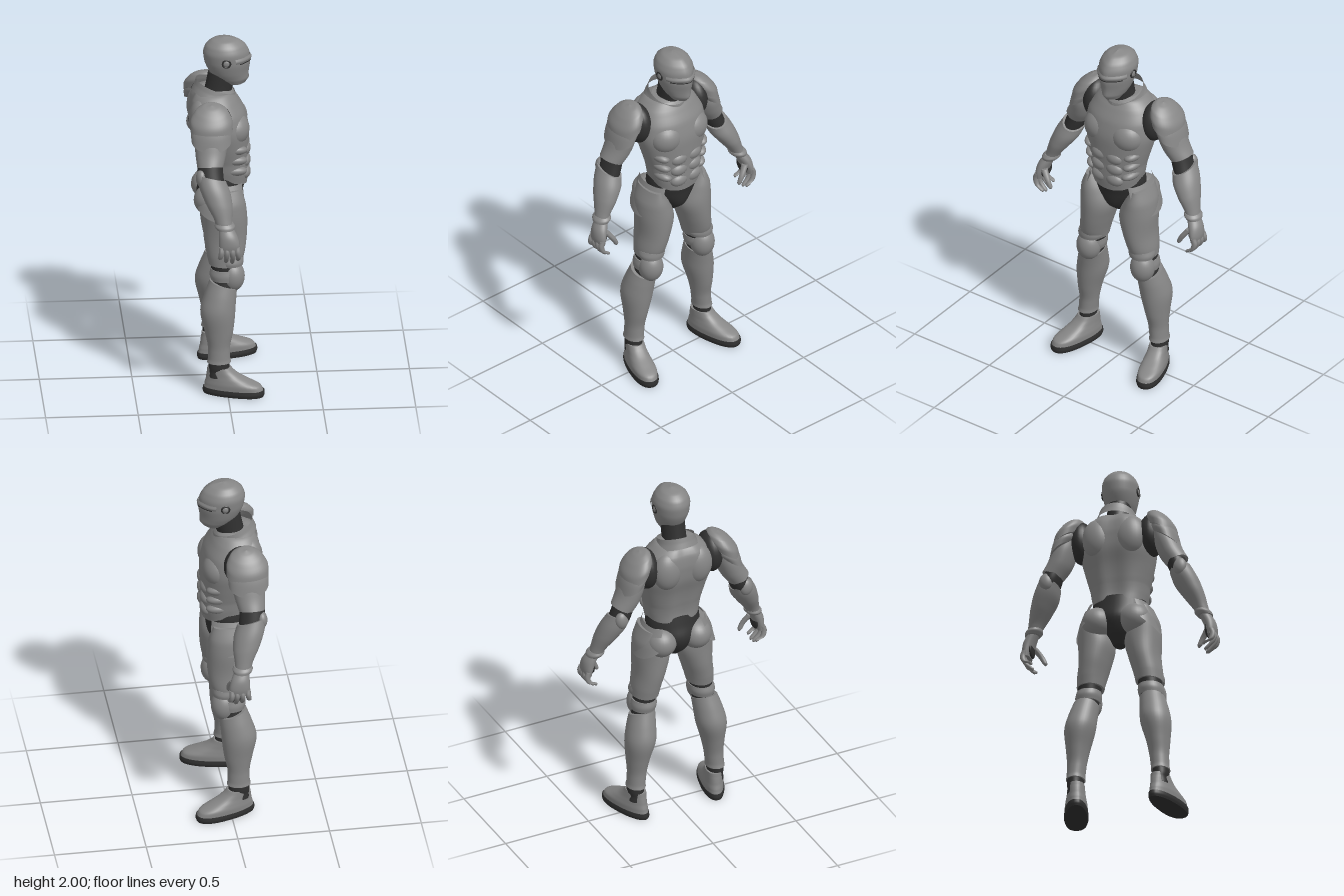
import * as THREE from 'three';

const armour = new THREE.MeshStandardMaterial({ color: 0x868686, side: THREE.DoubleSide });
armour.name = 'armourGrey';
const under = new THREE.MeshStandardMaterial({ color: 0x303030 });
under.name = 'underlayerDark';

// Smooth surface through horizontal oval rings [x, y, z, rx, rz], listed bottom to top
function loft(parent, name, mat, rings, { from = 0, to = Math.PI * 2, power = 2, warp, seg = 36 } = {}) {
  const centres = new THREE.CatmullRomCurve3(rings.map(r => new THREE.Vector3(r[0], r[1], r[2])));
  const radii = new THREE.CatmullRomCurve3(rings.map(r => new THREE.Vector3(r[3], r[4], 0)));
  const closed = to - from > 6.28, cols = closed ? seg : seg + 1;
  const rows = (rings.length - 1) * 5, pos = [], idx = [];
  const addRing = t => {
    const c = centres.getPoint(t), r = radii.getPoint(t);
    for (let j = 0; j < cols; j++) {
      const a = from + (to - from) * j / seg, ca = Math.cos(a), sa = Math.sin(a);
      const p = new THREE.Vector3(
        c.x + r.x * Math.sign(ca) * Math.abs(ca) ** (2 / power), c.y,
        c.z + r.y * Math.sign(sa) * Math.abs(sa) ** (2 / power));
      if (warp) warp(p, ca, sa, t, c);
      pos.push(p.x, p.y, p.z);
    }
  };
  for (let i = 0; i <= rows; i++) addRing(i / rows);
  for (let i = 0; i < rows; i++) for (let j = 0; j < seg; j++) {
    const a = i * cols + j, b = i * cols + (j + 1) % cols;
    idx.push(a, a + cols, b, b, a + cols, b + cols);
  }
  // Flat end caps with their own vertices
  if (closed) for (const t of [0, 1]) {
    const s = pos.length / 3, mid = new THREE.Vector3();
    addRing(t);
    for (let j = 0; j < cols; j++) mid.add(new THREE.Vector3().fromArray(pos, (s + j) * 3));
    pos.push(...mid.divideScalar(cols).toArray());
    for (let j = 0; j < seg; j++) {
      const a = s + j, b = s + (j + 1) % seg;
      idx.push(s + cols, t ? b : a, t ? a : b);
    }
  }
  const g = new THREE.BufferGeometry();
  g.setAttribute('position', new THREE.Float32BufferAttribute(pos, 3));
  g.setIndex(idx);
  g.computeVertexNormals();
  const m = new THREE.Mesh(g, mat);
  m.name = name;
  parent.add(m);
  return m;
}

function ball(parent, name, mat, p, r) {
  const m = new THREE.Mesh(new THREE.SphereGeometry(1, 28, 18).scale(...r), mat);
  m.name = name;
  m.position.set(...p);
  parent.add(m);
  return m;
}

function part(parent, name) {
  const g = new THREE.Group();
  g.name = name;
  parent.add(g);
  return g;
}

function buildHead(root) {
  const head = part(root, 'head');
  // A slight ridge runs down the centre of the face
  const ridge = (p, ca) => { if (ca > 0) p.x += 0.012 * ca ** 12; };
  loft(head, 'helmet', armour, [
    [0.055, 1.73, 0, 0.045, 0.045], [0.035, 1.76, 0, 0.085, 0.065], [0.02, 1.8, 0, 0.1, 0.082],
    [0.01, 1.86, 0, 0.118, 0.097], [0.004, 1.91, 0, 0.119, 0.1], [0, 1.955, 0, 0.102, 0.086],
    [-0.002, 1.985, 0, 0.065, 0.056], [-0.002, 2, 0, 0.006, 0.006]], { warp: ridge });
  loft(head, 'browLip', armour, [[0.014, 1.872, 0, 0.117, 0.1], [0.014, 1.885, 0, 0.121, 0.104],
    [0.01, 1.9, 0, 0.117, 0.1]], { from: -1.2, to: 1.2, warp: ridge });
  loft(head, 'visorSlit', under, [[0.014, 1.866, 0, 0.119, 0.1], [0.014, 1.872, 0, 0.119, 0.1]],
    { from: -1, to: 1, warp: ridge });
  for (const s of [1, -1]) {
    const ear = new THREE.Mesh(new THREE.TorusGeometry(0.021, 0.005, 8, 24), under);
    ear.name = 'earRing';
    ear.position.set(0.005, 1.88, s * 0.098);
    head.add(ear);
    ball(head, 'earDisc', armour, [0.005, 1.88, s * 0.096], [0.018, 0.018, 0.008]);
  }
  loft(root, 'neck', under, [[-0.05, 1.64, 0, 0.08, 0.075], [-0.03, 1.71, 0, 0.075, 0.065], [-0.01, 1.8, 0, 0.078, 0.065]]);
}

function buildTorso(root) {
  const torso = part(root, 'torso');
  // The lower edge rises at the flanks, and a shallow groove runs down the spine
  loft(torso, 'breastplate', armour, [
    [0, 1.155, 0, 0.122, 0.145], [0.003, 1.22, 0, 0.126, 0.155], [-0.002, 1.3, 0, 0.13, 0.163],
    [-0.012, 1.4, 0, 0.143, 0.188], [-0.03, 1.5, 0, 0.158, 0.207], [-0.045, 1.58, 0, 0.152, 0.2],
    [-0.06, 1.65, 0, 0.128, 0.165], [-0.06, 1.69, 0, 0.1, 0.12], [-0.055, 1.705, 0, 0.07, 0.08]],
  { power: 2.2, seg: 56, warp: (p, ca) => {
    p.y += 0.05 * (1 - Math.max(0, ca)) * THREE.MathUtils.clamp((1.32 - p.y) / 0.16, 0, 1);
    if (ca < 0) p.x += 0.015 * Math.abs(ca) ** 30;
  } });
  const tilt = p => { p.y -= (p.x + 0.05) * 0.38; };
  loft(torso, 'collar', armour, [[-0.05, 1.655, 0, 0.125, 0.125], [-0.05, 1.69, 0, 0.112, 0.108],
    [-0.048, 1.72, 0, 0.105, 0.1]], { from: 0, to: 6.279, warp: tilt });
  for (const s of [1, -1]) {
    ball(torso, 'chestMuscle', armour, [0.04, 1.495, s * 0.085], [0.09, 0.095, 0.1]);
    ball(torso, 'shoulderBlade', armour, [-0.13, 1.56, s * 0.09], [0.068, 0.115, 0.085]);
    for (let i = 0; i < 3; i++) {
      ball(torso, 'abdomenPlate', armour, [0.102, 1.365 - i * 0.07, s * 0.046], [0.037, 0.04, 0.056]);
      const rib = ball(torso, 'ribPlate', armour, [0.045, 1.385 - i * 0.065, s * (0.13 - i * 0.008)], [0.07, 0.03, 0.045]);
      rib.rotation.x = s * -0.3;
    }
  }
}

function buildPelvis(root) {
  const pelvis = part(root, 'pelvis');
  loft(pelvis, 'pelvisUnderlayer', under, [
    [-0.02, 0.965, 0, 0.04, 0.03], [-0.02, 1.02, 0, 0.1, 0.07], [-0.025, 1.1, 0, 0.125, 0.135],
    [-0.01, 1.17, 0, 0.122, 0.152], [-0.005, 1.23, 0, 0.113, 0.145]]);
  for (const s of [1, -1]) {
    ball(pelvis, 'buttock', armour, [-0.085, 1.085, s * 0.105], [0.088, 0.085, 0.085]);
    loft(pelvis, 'hipPlate', armour, [
      [-0.025, 1.085, s * 0.125, 0.135, 0.108], [-0.025, 1.12, s * 0.115, 0.13, 0.1],
      [-0.02, 1.185, s * 0.095, 0.115, 0.072]],
    { from: s > 0 ? 0.4 : -2.85, to: s > 0 ? 2.85 : -0.4,
      warp: (p, ca, sa, t) => { p.y -= 0.085 * Math.abs(sa) * (1 - t); } });
  }
}

function buildArm(root, s) {
  const arm = part(root, s > 0 ? 'leftArm' : 'rightArm');
  const L = (name, mat, rings, o) => loft(arm, name, mat, rings.map(([x, y, z, a, b]) => [x, y, z * s, a, b]), o);
  ball(arm, 'shoulderJoint', under, [-0.07, 1.575, s * 0.195], [0.1, 0.12, 0.068]);
  // Shoulder shells slope down to the outside
  const slope = (p, ca, sa, t) => { p.y -= sa * s * 0.045 * (1 - t); };
  L('shoulderPlate', armour, [[-0.088, 1.575, 0.27, 0.115, 0.077], [-0.088, 1.62, 0.26, 0.113, 0.08],
    [-0.085, 1.67, 0.243, 0.085, 0.063], [-0.085, 1.695, 0.235, 0.045, 0.034], [-0.085, 1.702, 0.232, 0.005, 0.005]], { warp: slope });
  L('shoulderBand', armour, [[-0.09, 1.52, 0.295, 0.108, 0.07], [-0.09, 1.56, 0.28, 0.11, 0.072],
    [-0.088, 1.6, 0.265, 0.1, 0.066]], { warp: slope });
  L('upperArm', armour, [[-0.1, 1.385, 0.35, 0.07, 0.055], [-0.095, 1.44, 0.315, 0.082, 0.064],
    [-0.09, 1.51, 0.288, 0.09, 0.066], [-0.088, 1.58, 0.265, 0.08, 0.06]],
  { warp: (p, ca, sa, t) => { p.y += sa * s * 0.025 * (1 - t); } });
  L('elbow', under, [[-0.085, 1.27, 0.385, 0.06, 0.05], [-0.1, 1.345, 0.357, 0.07, 0.055], [-0.1, 1.43, 0.33, 0.066, 0.052]]);
  L('forearm', armour, [[-0.032, 1.09, 0.475, 0.042, 0.036], [-0.04, 1.13, 0.46, 0.05, 0.041],
    [-0.058, 1.2, 0.428, 0.073, 0.057], [-0.078, 1.27, 0.393, 0.083, 0.066], [-0.095, 1.33, 0.367, 0.078, 0.058]],
  { warp: (p, ca, sa, t) => { p.y += (sa * s * 0.02 - ca * 0.02) * t; } });
  L('wristCuff', armour, [[-0.027, 1.08, 0.483, 0.048, 0.042], [-0.03, 1.095, 0.475, 0.055, 0.047], [-0.033, 1.11, 0.468, 0.048, 0.042]]);
  ball(arm, 'elbowCap', armour, [-0.15, 1.335, s * 0.375], [0.03, 0.05, 0.038]);

  // Hand with curled fingers along x
  L('hand', armour, [[-0.008, 0.96, 0.518, 0.052, 0.022], [-0.008, 1, 0.515, 0.056, 0.03],
    [-0.014, 1.045, 0.503, 0.05, 0.035], [-0.025, 1.09, 0.48, 0.037, 0.032]]);
  ball(arm, 'palm', under, [-0.01, 1.005, s * 0.493], [0.046, 0.045, 0.013]);
  [-0.052, -0.022, 0.008, 0.036].forEach((x, i) => {
    const tip = [0.9, 0.88, 0.875, 0.89][i], dx = x * 0.12;
    L('finger', armour, [[x + dx, tip, 0.483, 0.005, 0.005], [x + dx, tip + 0.012, 0.49, 0.012, 0.013],
      [x + dx, 0.925, 0.522, 0.013, 0.014], [x, 0.96, 0.532, 0.015, 0.016], [x, 0.99, 0.522, 0.014, 0.016]], { seg: 12 });
  });
  L('thumb', armour, [[0.04, 0.93, 0.43, 0.005, 0.005], [0.04, 0.942, 0.433, 0.013, 0.013],
    [0.038, 0.98, 0.452, 0.015, 0.017], [0.02, 1.03, 0.488, 0.02, 0.02]], { seg: 12 });
}

function buildLeg(root, s) {
  const leg = part(root, s > 0 ? 'leftLeg' : 'rightLeg');
  const L = (name, mat, rings, o) => loft(leg, name, mat, rings.map(([x, y, z, a, b]) => [x, y, z * s, a, b]), o);
  L('thigh', armour, [[-0.01, 0.735, 0.165, 0.085, 0.073], [-0.005, 0.79, 0.158, 0.102, 0.079],
    [-0.005, 0.88, 0.14, 0.116, 0.087], [-0.005, 0.98, 0.13, 0.12, 0.1], [-0.01, 1.08, 0.145, 0.115, 0.078],
    [-0.01, 1.16, 0.155, 0.09, 0.035]]);
  L('kneeJoint', under, [[-0.02, 0.58, 0.19, 0.062, 0.06], [-0.012, 0.67, 0.175, 0.068, 0.06], [-0.01, 0.77, 0.165, 0.078, 0.066]]);
  L('kneeBand', armour, [[-0.012, 0.65, 0.178, 0.074, 0.067], [-0.012, 0.68, 0.175, 0.08, 0.071], [-0.01, 0.71, 0.172, 0.075, 0.067]]);
  ball(leg, 'kneeCap', armour, [0.03, 0.665, s * 0.18], [0.068, 0.088, 0.068]);
  L('kneeRim', armour, [[0.02, 0.735, 0.17, 0.07, 0.07], [0.018, 0.755, 0.168, 0.074, 0.075], [0.01, 0.78, 0.165, 0.08, 0.072]]);
  L('shin', armour, [[-0.045, 0.185, 0.238, 0.065, 0.052], [-0.045, 0.21, 0.236, 0.06, 0.05],
    [-0.045, 0.27, 0.231, 0.06, 0.052], [-0.045, 0.36, 0.225, 0.077, 0.064], [-0.05, 0.48, 0.212, 0.095, 0.084],
    [-0.035, 0.56, 0.2, 0.086, 0.079], [-0.018, 0.625, 0.187, 0.074, 0.071]],
  { warp: (p, ca, sa, t) => { p.y -= ca * 0.025 * t ** 4; } });
  L('ankle', under, [[-0.045, 0.1, 0.24, 0.056, 0.044], [-0.045, 0.15, 0.24, 0.056, 0.044], [-0.045, 0.2, 0.238, 0.056, 0.045]]);

  // Boot turned outward, wider at the toe
  const boot = part(leg, 'boot');
  boot.position.set(-0.045, 0, s * 0.235);
  boot.rotation.y = -s * 0.27;
  const toe = { power: 2.3, warp: (p, ca) => { p.z *= 1 + 0.14 * ca; } };
  loft(boot, 'sole', under, [[0.08, 0, 0, 0.165, 0.061], [0.08, 0.018, 0, 0.17, 0.066], [0.08, 0.036, 0, 0.168, 0.064]], toe);
  loft(boot, 'bootUpper', armour, [[0.08, 0.034, 0, 0.163, 0.061], [0.075, 0.06, 0, 0.154, 0.062],
    [0.05, 0.085, 0, 0.122, 0.057], [0.024, 0.11, 0, 0.093, 0.051], [0.008, 0.135, 0, 0.073, 0.048],
    [0, 0.155, 0, 0.063, 0.046]], toe);
}

export function createModel() {
  const root = new THREE.Group();
  root.name = 'armouredFigure';
  buildHead(root);
  buildTorso(root);
  buildPelvis(root);
  for (const s of [1, -1]) {
    buildArm(root, s);
    buildLeg(root, s);
  }
  return root;
}
